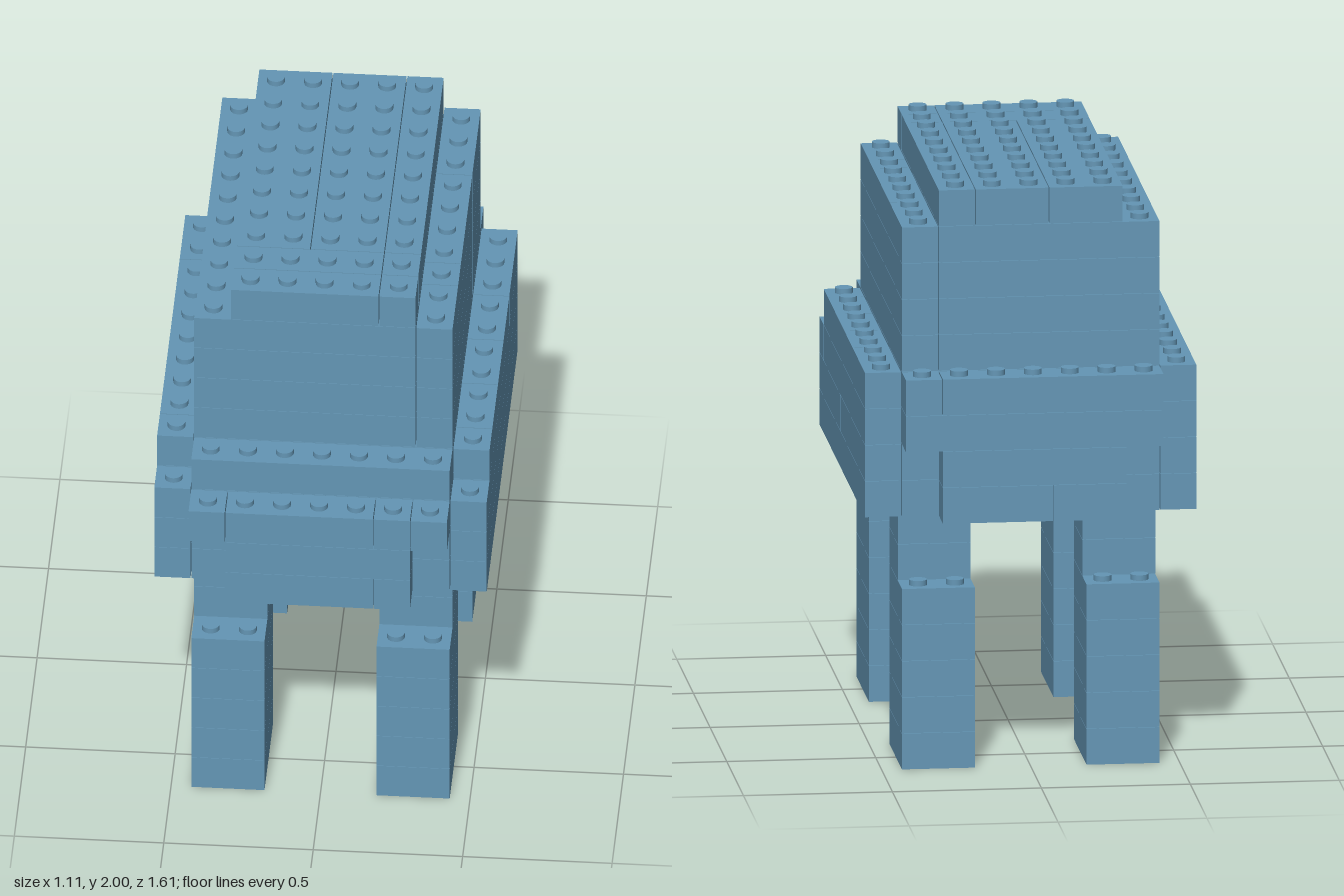
import * as THREE from 'three';
import { mergeGeometries } from 'three/addons/utils/BufferGeometryUtils.js';

const P = 0.1239;      // grid pitch; every layer is one pitch tall
const GAP = 0.003;     // seam between neighbouring bricks
const STUD_R = 0.03, STUD_H = 0.018;

// One brick on a layer, spanning grid coordinates x0..x1, z0..z1
function brick(layer, x0, x1, z0, z1) {
  const g = new THREE.BoxGeometry((x1 - x0) * P - GAP, P - GAP / 2, (z1 - z0) * P - GAP);
  g.translate((x0 + x1) / 2 * P, (layer + 0.5) * P, (z0 + z1) / 2 * P);
  return g;
}

// Row of bricks along z (or x), split at the given cuts
const rowZ = (layer, x0, x1, cuts) => cuts.slice(1).map((c, i) => brick(layer, x0, x1, cuts[i], c));
const rowX = (layer, z0, z1, cuts) => cuts.slice(1).map((c, i) => brick(layer, cuts[i], c, z0, z1));

// Grid of studs on top of a layer, inclusive stud positions
function studs(layer, x0, x1, z0, z1) {
  const list = [];
  for (let x = x0; x <= x1; x++) {
    for (let z = z0; z <= z1; z++) {
      const g = new THREE.CylinderGeometry(STUD_R, STUD_R, STUD_H + GAP, 20);
      g.translate(x * P, (layer + 1) * P + (STUD_H - GAP) / 2, z * P);
      list.push(g);
    }
  }
  return list;
}

export function createModel() {
  const model = new THREE.Group();
  model.name = 'brickAnimal';
  const blue = new THREE.MeshStandardMaterial({ color: 0x6496b5 });
  blue.name = 'greyBlue';

  const add = (name, geometries) => {
    const mesh = new THREE.Mesh(mergeGeometries(geometries), blue);
    mesh.name = name;
    model.add(mesh);
  };

  // Legs: five long layers, two shorter ones, studs on the step
  for (const [side, x0] of [['Left', 1.5], ['Right', -3.5]]) {
    for (const [end, s] of [['front', 1], ['back', -1]]) {
      const parts = [];
      for (let l = 0; l < 7; l++) {
        const a = 2.5 * s, b = (l < 5 ? 5.5 : 4.5) * s;
        parts.push(brick(l, x0, x0 + 2, Math.min(a, b), Math.max(a, b)));
      }
      parts.push(...studs(4, x0 + 0.5, x0 + 1.5, 5 * s, 5 * s));
      add(end + side + 'Leg', parts);
    }
  }

  // Body: three full layers with differing seams
  const sideCuts = {
    7: [-5.5, 2.5, 3.5, 5.5],
    8: [-5.5, 0.5, 1.5, 5.5],
    9: [-5.5, 2.5, 3.5, 4.5, 5.5],
  };
  const body = [];
  for (const l of [7, 8, 9]) {
    body.push(
      brick(l, -3.5, 3.5, -5.5, 5.5),
      ...rowZ(l, 3.5, 4.5, sideCuts[l]),
      ...rowZ(l, -4.5, -3.5, sideCuts[l]),
    );
  }
  body.push(...studs(9, -4, -4, 5, 5), ...studs(9, 4, 4, 5, 5));
  add('body', body);

  // Front ledge: narrow below, wider on top
  add('frontLedge', [
    ...rowX(7, 5.5, 6.5, [-2.5, 1.5, 2.5]),
    brick(8, -2.5, 2.5, 5.5, 6.5),
    ...rowX(9, 5.5, 6.5, [-3.5, -2.5, 1.5, 2.5, 3.5]),
    ...studs(9, -3, 3, 6, 6),
  ]);

  // Back ledge: one layer taller than the front one
  add('backLedge', [
    ...rowX(7, -6.5, -5.5, [-2.5, -0.5, 2.5]),
    brick(8, -2.5, 2.5, -6.5, -5.5),
    brick(9, -3.5, 3.5, -6.5, -5.5),
    ...rowX(10, -6.5, -5.5, [-3.5, 2.5, 3.5]),
    ...studs(10, -3, 3, -6, -6),
  ]);

  // Rim around the foot of the upper block
  add('rim', [
    brick(10, -3.5, 3.5, -5.5, 4.5),
    ...rowX(10, 4.5, 5.5, [-3.5, 3.5]),
    ...rowZ(10, 3.5, 4.5, [-5.5, -2.5, -0.5, 1.5, 3.5, 4.5]),
    ...rowZ(10, -4.5, -3.5, [-5.5, -3.5, 3.5, 4.5]),
    ...studs(10, -4, -4, -5, 4),
    ...studs(10, 4, 4, -5, 4),
    ...studs(10, -3, 3, 5, 5),
  ]);

  // Upper block: four layers
  const upper = [];
  for (let l = 11; l < 15; l++) {
    upper.push(
      brick(l, -3.5, 2.5, -5.5, 4.5),
      ...rowZ(l, 2.5, 3.5, [-5.5, -2.5, 1.5, 2.5, 4.5]),
    );
  }
  upper.push(...studs(14, -3, -3, -5, 4), ...studs(14, 3, 3, -5, 4));
  add('upperBlock', upper);

  // Top layer
  add('topLayer', [
    ...rowX(15, -5.5, 2.5, [-2.5, -0.5, 1.5]),
    ...rowZ(15, -2.5, 1.5, [2.5, 3.5, 4.5]),
    ...rowZ(15, 1.5, 2.5, [-5.5, 2.5, 3.5, 4.5]),
    ...studs(15, -2, 2, -5, 4),
  ]);

  return model;
}
